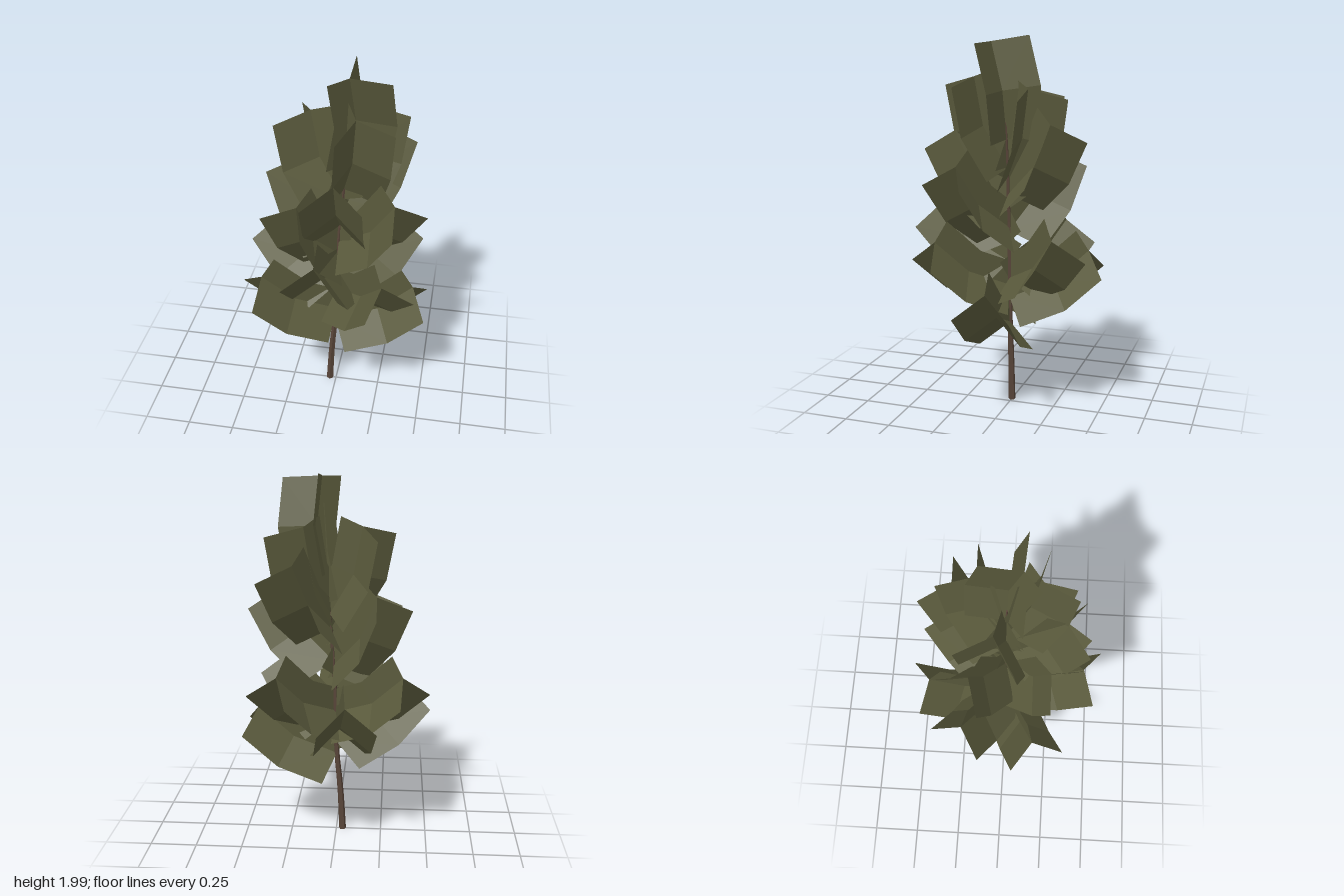
import * as THREE from 'three';
import { mergeGeometries } from 'three/addons/utils/BufferGeometryUtils.js';

const rad = THREE.MathUtils.degToRad;

// Trunk centre line: leans gently toward +x as it rises
const trunkCurve = new THREE.CatmullRomCurve3([
  new THREE.Vector3(-0.035, 0, 0),
  new THREE.Vector3(-0.022, 0.25, 0),
  new THREE.Vector3(0, 0.5, 0),
  new THREE.Vector3(0.01, 0.9, 0),
  new THREE.Vector3(0.035, 1.25, 0),
  new THREE.Vector3(0.065, 1.55, 0),
]);
const trunkAt = (y) => {
  let best = trunkCurve.getPoint(0);
  for (let i = 1; i <= 60; i++) {
    const p = trunkCurve.getPoint(i / 60);
    if (Math.abs(p.y - y) < Math.abs(best.y - y)) best = p;
  }
  return best;
};

// Tapering five-sided trunk following the curve
function makeTrunk(material) {
  const geo = new THREE.CylinderGeometry(1, 1, 1, 5, 12).toNonIndexed();
  const pos = geo.attributes.position;
  for (let i = 0; i < pos.count; i++) {
    const t = pos.getY(i) + 0.5;
    const c = trunkCurve.getPoint(t);
    const r = 0.02 - 0.014 * t;
    pos.setXYZ(i, c.x + pos.getX(i) * r, c.y, c.z + pos.getZ(i) * r);
  }
  geo.computeVertexNormals();
  const mesh = new THREE.Mesh(geo, material);
  mesh.name = 'trunk';
  return mesh;
}

// Leaf spray: three blades in a Y section around a spine that bends once
function makeLeaf(azimuth, baseY, elevation, roll, material) {
  const seg = 0.255, halfWidth = 0.15, fold = 0.14, fin = 0.125;
  const e = rad(elevation);
  const angles = [e - rad(10), e + rad(10)];
  // Each blade: [sideways reach, reach away from the spine's upper side]
  const blades = [[halfWidth, fold], [-halfWidth, fold], [0, -fin]].map(([side, drop]) => {
    const geo = new THREE.PlaneGeometry(1, 2, 1, 2).toNonIndexed();
    const pos = geo.attributes.position;
    for (let i = 0; i < pos.count; i++) {
      const across = pos.getX(i) + 0.5;
      const row = Math.round(pos.getY(i)) + 1;
      let out = across * drop * Math.sin(e);
      let up = -across * drop * Math.cos(e);
      for (let k = 0; k < row; k++) {
        out += seg * Math.cos(angles[k]);
        up += seg * Math.sin(angles[k]);
      }
      pos.setXYZ(i, out, up, across * side);
    }
    geo.computeVertexNormals();
    return geo;
  });
  const leaf = new THREE.Mesh(mergeGeometries(blades), material);
  leaf.name = 'leaf';
  leaf.position.copy(trunkAt(baseY)).setY(baseY);
  leaf.rotation.set(rad(roll), -rad(azimuth), 0, 'YXZ');
  return leaf;
}

export function createModel() {
  const bark = new THREE.MeshStandardMaterial({ color: 0x584539, name: 'bark brown' });
  const foliage = new THREE.MeshStandardMaterial({
    color: 0x5a5a3c, name: 'olive leaf', side: THREE.DoubleSide,
  });

  const model = new THREE.Group();
  model.name = 'tree';
  model.add(makeTrunk(bark));

  // Spiral of leaves: compass angle (from +x toward +z), base height, steepness, roll
  const spiral = [
    [-1, 0.46, 32], [157, 0.53, 35], [260, 0.60, 33], [48, 0.67, 33],
    [211, 0.70, 33], [312, 0.71, 34], [97, 0.80, 35],
    [126, 0.91, 55], [217, 0.97, 55], [30, 0.99, 45],
    [87, 1.09, 54], [302, 1.17, 50],
    [197, 1.25, 69], [309, 1.26, 68], [62, 1.31, 70],
    [-43, 1.46, 94, 8],
  ];
  const crown = new THREE.Group();
  crown.name = 'crown';
  for (const [azimuth, baseY, elevation, roll = 0] of spiral) {
    crown.add(makeLeaf(azimuth, baseY, elevation, roll, foliage));
  }
  model.add(crown);
  return model;
}
